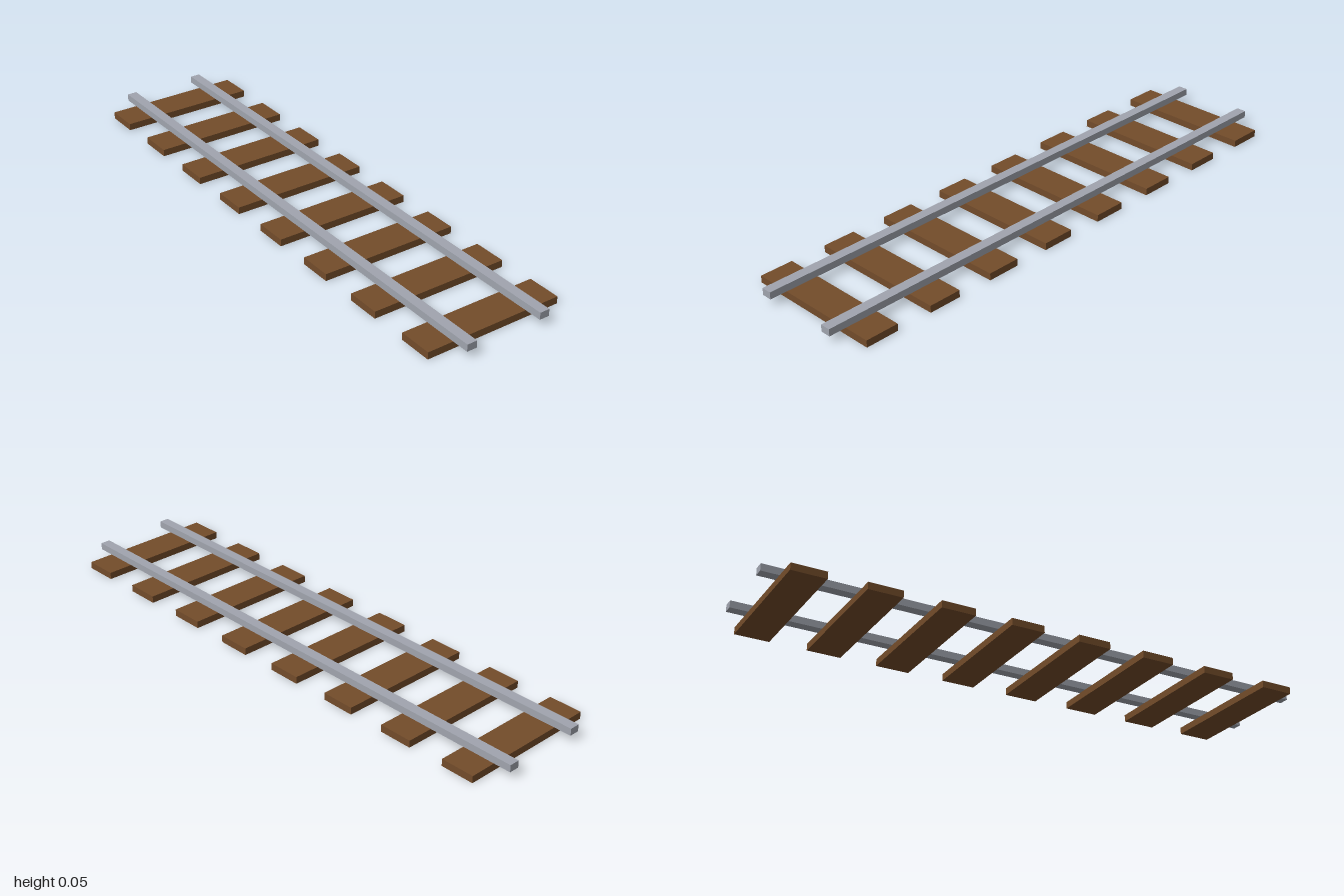
import * as THREE from 'three';

export function createModel() {
  const track = new THREE.Group();
  track.name = 'railwayTrack';

  const wood = new THREE.MeshStandardMaterial({ color: 0x734c2a });
  wood.name = 'brown wood';
  const steel = new THREE.MeshStandardMaterial({ color: 0xa0a4ae });
  steel.name = 'grey steel';

  const addBox = (name, material, size, position) => {
    const mesh = new THREE.Mesh(new THREE.BoxGeometry(...size), material);
    mesh.name = name;
    mesh.position.set(...position);
    track.add(mesh);
  };

  // Eight evenly spaced wooden sleepers
  const count = 8, spacing = 0.251;
  for (let i = 0; i < count; i++) {
    const z = (i - (count - 1) / 2) * spacing;
    addBox(`sleeper${i + 1}`, wood, [0.502, 0.025, 0.12], [0, 0.0125, z]);
  }

  // Two rails resting on the sleepers
  for (const side of [-1, 1]) {
    addBox(side > 0 ? 'leftRail' : 'rightRail', steel, [0.036, 0.025, 2], [side * 0.14, 0.0375, 0]);
  }

  return track;
}
